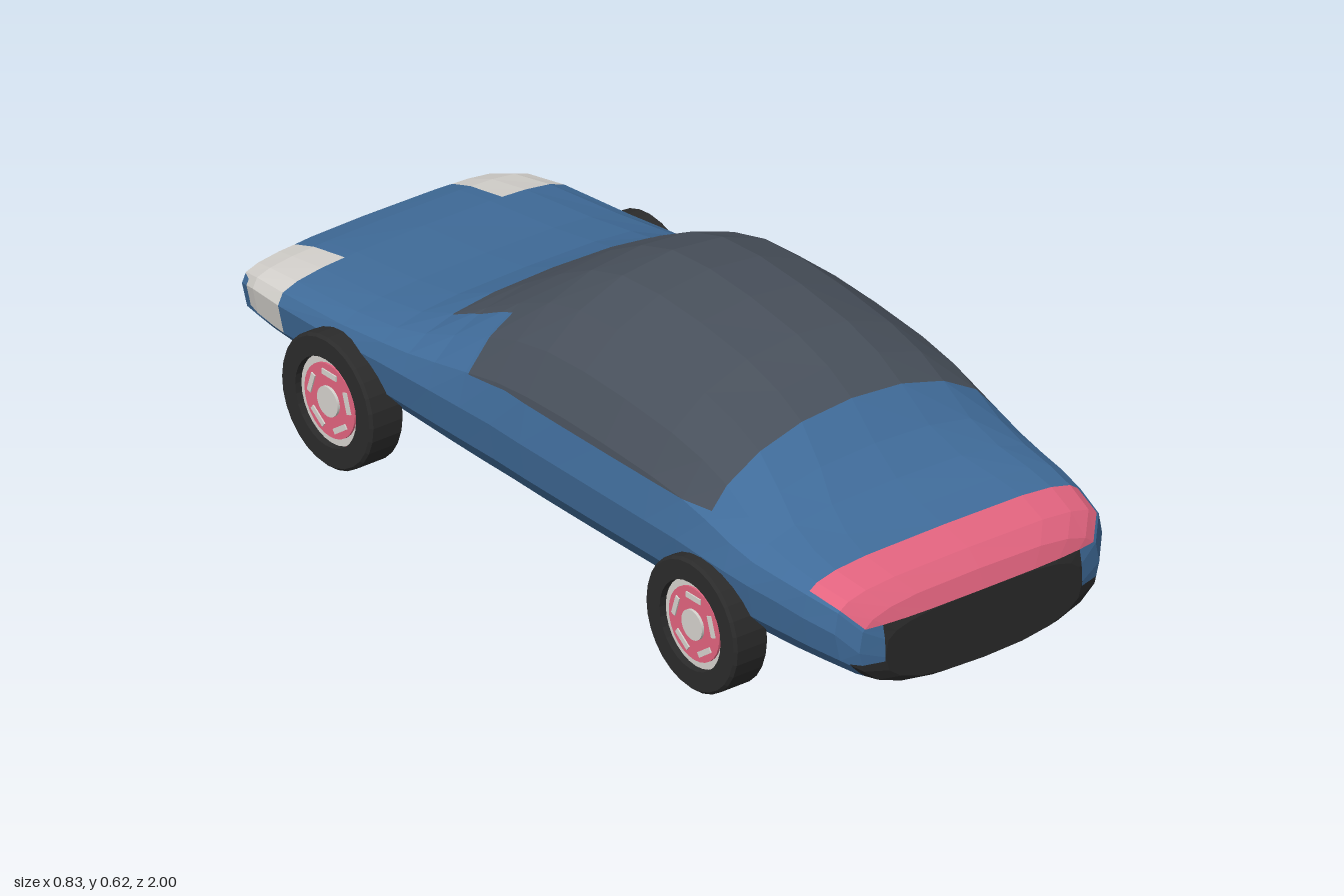
import * as THREE from 'three';

const mat = (name, color) => {
  const m = new THREE.MeshStandardMaterial({ color });
  m.name = name;
  return m;
};

// Body stations, nose to tail: z, half width, top, bottom, belt height, roundness of the upper half
const STATIONS = [
  [1, 0.25, 0.27, 0.115, 0.2, 3.5], [0.985, 0.305, 0.31, 0.105, 0.22, 3.5],
  [0.95, 0.34, 0.343, 0.098, 0.26, 4], [0.87, 0.358, 0.36, 0.095, 0.27, 4],
  [0.8, 0.37, 0.375, 0.09, 0.28, 3.5], [0.72, 0.38, 0.4, 0.088, 0.285, 2.8],
  [0.65, 0.385, 0.45, 0.086, 0.29, 2.3], [0.575, 0.388, 0.52, 0.086, 0.295, 2.1],
  [0.5, 0.39, 0.56, 0.085, 0.3, 2.1], [0.4, 0.39, 0.59, 0.084, 0.3, 2.1],
  [0.25, 0.39, 0.61, 0.081, 0.3, 2.1], [0.12, 0.39, 0.617, 0.08, 0.3, 2.1],
  [0, 0.39, 0.608, 0.08, 0.3, 2.1], [-0.1, 0.388, 0.575, 0.08, 0.3, 2.1],
  [-0.2, 0.386, 0.52, 0.08, 0.295, 2.1], [-0.3, 0.384, 0.455, 0.082, 0.29, 2.2],
  [-0.385, 0.382, 0.4, 0.085, 0.285, 2.5], [-0.47, 0.38, 0.365, 0.088, 0.28, 3],
  [-0.6, 0.378, 0.34, 0.09, 0.27, 3], [-0.8, 0.37, 0.315, 0.088, 0.26, 3],
  [-0.9, 0.355, 0.295, 0.083, 0.25, 3.2], [-0.96, 0.335, 0.275, 0.085, 0.23, 3.2],
  [-0.99, 0.3, 0.255, 0.095, 0.2, 3], [-1, 0.22, 0.22, 0.12, 0.18, 3],
];
const SIDES = 20;

// Closed super-ellipse cross-section, counter-clockwise seen from +z
function section([z, w, top, bottom, belt, n]) {
  return Array.from({ length: SIDES }, (_, j) => {
    const t = (j / SIDES) * Math.PI * 2;
    const c = Math.cos(t), s = Math.sin(t);
    const e = 2 / (s >= -1e-6 ? n : 2.5);
    const x = w * Math.sign(c) * Math.abs(c) ** e;
    const h = s >= 0 ? top - belt : belt - bottom;
    return new THREE.Vector3(x, belt + h * Math.sign(s) * Math.abs(s) ** e, z);
  });
}

function bodyTriangles() {
  const rings = STATIONS.map(section), tris = [];
  for (let i = 0; i < rings.length - 1; i++) {
    for (let j = 0; j < SIDES; j++) {
      const k = (j + 1) % SIDES, a = rings[i], b = rings[i + 1];
      tris.push([a[j], b[j], b[k]], [a[j], b[k], a[k]]);
    }
  }
  // End caps
  const first = rings[0], last = rings[rings.length - 1];
  const front = new THREE.Vector3(0, 0.2, 1), back = new THREE.Vector3(0, 0.18, -1);
  for (let j = 0; j < SIDES; j++) {
    const k = (j + 1) % SIDES;
    tris.push([front, first[j], first[k]], [back, last[k], last[j]]);
  }
  return tris;
}

// Cut triangles along a plane so that colour borders come out straight
function split(tris, [nx, ny, nz, c]) {
  const out = [];
  const dist = p => nx * p.x + ny * p.y + nz * p.z - c;
  for (const tri of tris) {
    const d = tri.map(dist);
    if (Math.min(...d) > -1e-5 || Math.max(...d) < 1e-5) { out.push(tri); continue; }
    for (const side of [1, -1]) {
      const poly = [];
      for (let i = 0; i < 3; i++) {
        const j = (i + 1) % 3;
        if (d[i] * side >= 0) poly.push(tri[i]);
        if (d[i] * d[j] < 0) poly.push(tri[i].clone().lerp(tri[j], d[i] / (d[i] - d[j])));
      }
      for (let i = 1; i < poly.length - 1; i++) out.push([poly[0], poly[i], poly[i + 1]]);
    }
  }
  return out;
}

const SILL = 0.143; // fall of the window sill toward the tail
const CUTS = [
  [0, 0, 1, 0.575], [0, 0, 1, -0.385], [0, 0, 1, -0.19], [0, 0, 1, 0.87], [0, 0, 1, 0.965],
  [0, 0, 1, -0.8], [0, 0, 1, -0.935], [0, 0, 1, -0.97],
  [0, 1, 0, 0.385], [0, 1, -SILL, 0.395], [0, 1, 0, 0.27], [0, 1, 0, 0.25], [0, 1, 0, 0.19], [0, 1, 0, 0.105],
  [1, 0, 0, 0.2], [1, 0, 0, -0.2], [1, 0, 0, 0.25], [1, 0, 0, -0.25], [1, 0, 0, -0.255],
  [1.1, -1, 0, 0.049], [-1.1, -1, 0, 0.049],
];

// Which body part a point of the shell belongs to
function partAt({ x, y, z }) {
  const ax = Math.abs(x);
  const corner = ax > 0.25 && y > 0.19;
  if (z < 0.575 && z > -0.385 && y > Math.min(0.385, 0.395 + SILL * z))
    return x < -0.255 && z < -0.19 ? 'bodyShell' : 'windows';
  if (z > 0.87 && y > Math.max(0.27, 1.1 * ax - 0.049)) return 'lightBar';
  if (z > 0.965 && y > 0.105 && y < 0.27 && !corner) return 'bumperPanels';
  if (z < -0.8 && ax > 0.2 && y > (z < -0.935 ? 0.25 : 0.19)) return 'lamps';
  if (z < -0.97 && y > 0.105 && y < 0.25 && !corner) return 'bumperPanels';
  return 'bodyShell';
}

function flatGeometry(points) {
  const g = new THREE.BufferGeometry().setFromPoints(points);
  g.computeVertexNormals();
  return g;
}

export function createModel() {
  const blue = mat('bodyBlue', 0x406c9a), glass = mat('windowGrey', 0x48505b);
  const pink = mat('coralPink', 0xe2647f), black = mat('rubberBlack', 0x2b2b2b);
  const pale = mat('paleGrey', 0xd6d3ce);
  const car = new THREE.Group();
  car.name = 'car';
  const add = (parent, name, geometry, material) => {
    const m = new THREE.Mesh(geometry, material);
    m.name = name;
    parent.add(m);
    return m;
  };

  // Body shell sorted into coloured parts
  const parts = { bodyShell: [], windows: [], lightBar: [], bumperPanels: [], lamps: [] };
  for (const tri of CUTS.reduce(split, bodyTriangles())) {
    const mid = tri[0].clone().add(tri[1]).add(tri[2]).divideScalar(3);
    parts[partAt(mid)].push(...tri);
  }
  const colours = { bodyShell: blue, windows: glass, lightBar: pink, bumperPanels: black, lamps: pale };
  for (const name in parts) add(car, name, flatGeometry(parts[name]), colours[name]);

  // Wheels: built along y, outer face up, then turned outward
  const tyreProfile = [[0.098, 0], [0.14, 0], [0.146, 0.006], [0.146, 0.079], [0.14, 0.085], [0.098, 0.085], [0.098, 0]];
  const tyre = new THREE.LatheGeometry(tyreProfile.map(p => new THREE.Vector2(...p)), 28).toNonIndexed();
  tyre.computeVertexNormals();
  const disc = (r, y0, y1) => new THREE.CylinderGeometry(r, r, y1 - y0, 28).translate(0, (y0 + y1) / 2, 0);
  for (const side of [1, -1]) {
    for (const z of [0.58, -0.59]) {
      const wheel = new THREE.Group();
      wheel.name = (z > 0 ? 'front' : 'rear') + (side > 0 ? 'Left' : 'Right') + 'Wheel';
      add(wheel, 'tyre', tyre, black);
      add(wheel, 'rim', disc(0.0985, 0.02, 0.066), pink);
      add(wheel, 'rimEdge', disc(0.097, 0.066, 0.07), pale);
      add(wheel, 'rimFace', disc(0.081, 0.07, 0.075), pink);
      add(wheel, 'hub', disc(0.033, 0.075, 0.081), pale);
      for (let i = 0; i < 5; i++) {
        const slot = add(wheel, 'rimSlot', new THREE.BoxGeometry(0.012, 0.004, 0.046).translate(0.06, 0.076, 0), pale);
        slot.rotation.y = (i / 5) * Math.PI * 2;
      }
      wheel.rotation.z = -side * Math.PI / 2;
      wheel.position.set(side * 0.33, 0.146, z);
      car.add(wheel);
    }
  }
  return car;
}
